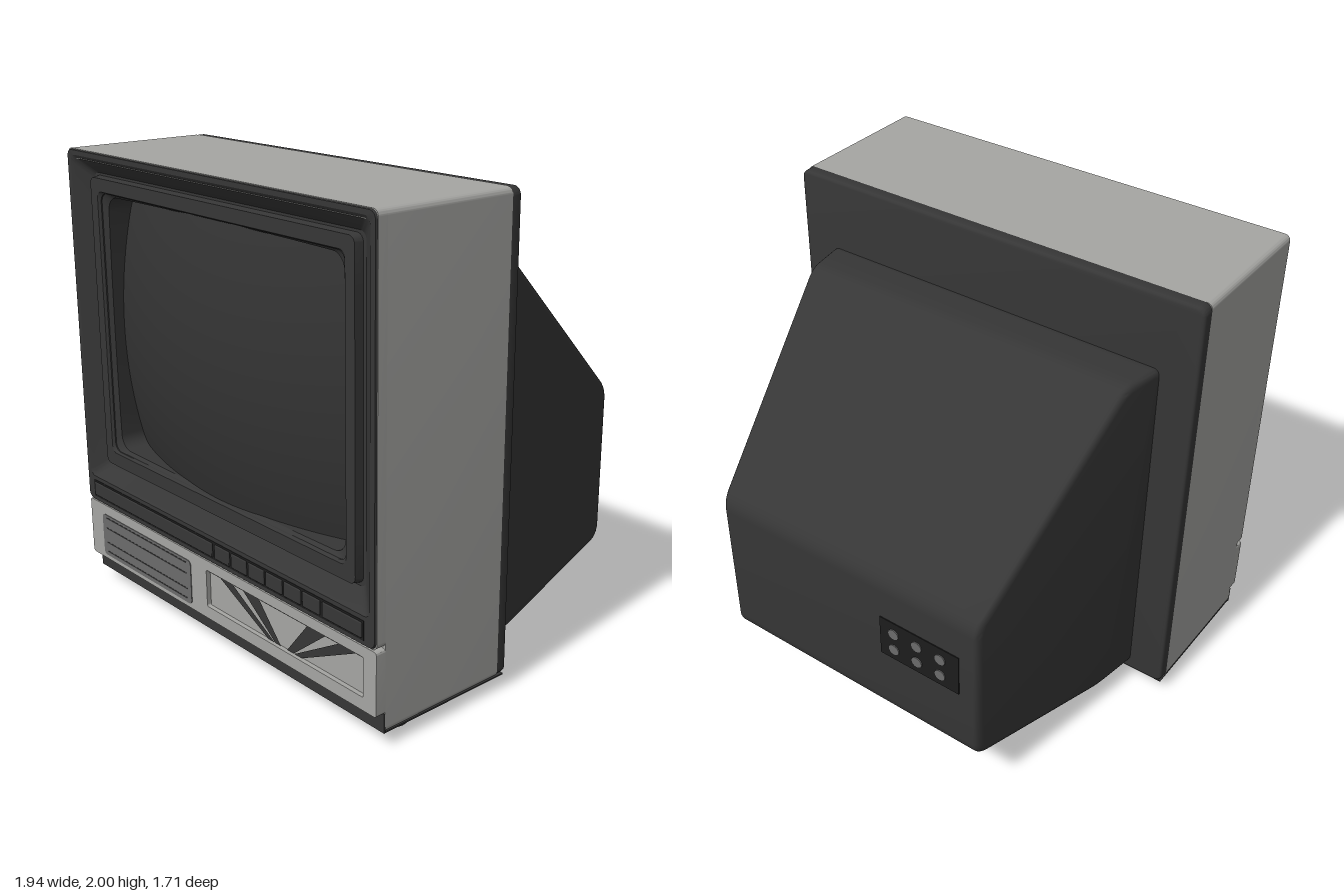
import * as THREE from 'three';
import { toCreasedNormals } from 'three/addons/utils/BufferGeometryUtils.js';
import { RoundedBoxGeometry } from 'three/addons/geometries/RoundedBoxGeometry.js';

const mat = (name, color, side = THREE.FrontSide) => {
  const m = new THREE.MeshStandardMaterial({ color, side });
  m.name = name;
  return m;
};

// Rounded rectangle path, usable as a shape or a hole
function roundRect(x0, y0, x1, y1, r, Type = THREE.Shape) {
  const s = new Type();
  s.moveTo(x0 + r, y0);
  s.lineTo(x1 - r, y0).absarc(x1 - r, y0 + r, r, -Math.PI / 2, 0, false);
  s.lineTo(x1, y1 - r).absarc(x1 - r, y1 - r, r, 0, Math.PI / 2, false);
  s.lineTo(x0 + r, y1).absarc(x0 + r, y1 - r, r, Math.PI / 2, Math.PI, false);
  s.lineTo(x0, y0 + r).absarc(x0 + r, y0 + r, r, Math.PI, Math.PI * 1.5, false);
  return s;
}

// Polygon with every corner softened by a quadratic curve
function softPolygon(points, r) {
  const s = new THREE.Shape();
  const p = points.map(([x, y]) => new THREE.Vector2(x, y));
  p.forEach((c, i) => {
    const toward = (q) => c.clone().add(q.clone().sub(c).setLength(r));
    const a = toward(p[(i + p.length - 1) % p.length]);
    const b = toward(p[(i + 1) % p.length]);
    if (i) s.lineTo(a.x, a.y); else s.moveTo(a.x, a.y);
    s.quadraticCurveTo(c.x, c.y, b.x, b.y);
  });
  s.closePath();
  return s;
}

// One bezel cross-section: rounded rectangle whose sides may bow outward
function bezelLoop([w, y0, y1, r, z, bow = 0]) {
  const cy = (y0 + y1) / 2, h = (y1 - y0) / 2, pts = [];
  const corners = [[1, -1], [1, 1], [-1, 1], [-1, -1]];
  corners.forEach(([sx, sy], k) => {
    for (let i = 0; i <= 6; i++) {
      const a = (k - 1 + i / 6) * Math.PI / 2;
      pts.push([sx * (w - r) + r * Math.cos(a), sy * (h - r) + r * Math.sin(a)]);
    }
    const [nx, ny] = corners[(k + 1) % 4];
    for (let i = 1; i < 8; i++) {
      const t = i / 8, vertical = k % 2 === 0;
      pts.push(vertical ? [sx * w, THREE.MathUtils.lerp(sy * (h - r), ny * (h - r), t)]
        : [THREE.MathUtils.lerp(sx * (w - r), nx * (w - r), t), sy * h]);
    }
  });
  return pts.map(([x, y]) => new THREE.Vector3(
    x * (1 - bow * (y / h) ** 2), cy + y * (1 - bow * (x / w) ** 2), z));
}

function loft(sections) {
  const loops = sections.map(bezelLoop), pos = [];
  for (let j = 0; j < loops.length - 1; j++) {
    const a = loops[j], b = loops[j + 1], n = a.length;
    for (let i = 0; i < n; i++) {
      const k = (i + 1) % n;
      for (const v of [a[i], a[k], b[k], a[i], b[k], b[i]]) pos.push(v.x, v.y, v.z);
    }
  }
  const g = new THREE.BufferGeometry();
  g.setAttribute('position', new THREE.Float32BufferAttribute(pos, 3));
  return toCreasedNormals(g, 0.45);
}

export function createModel() {
  const group = new THREE.Group();
  const grey = mat('light grey plastic', 0xa6a6a3);
  const dark = mat('charcoal plastic', 0x363636);
  const glass = mat('screen glass', 0x333333);
  const black = mat('black recess', 0x1c1c1c);
  const mesh = mat('grille grey', 0x6c6c6c);
  const rayDark = mat('vent ray charcoal', 0x363636, THREE.DoubleSide);

  const add = (name, geo, material, x = 0, y = 0, z = 0) => {
    const m = new THREE.Mesh(geo, material);
    m.name = name;
    m.position.set(x, y, z);
    group.add(m);
    return m;
  };
  const box = (name, x0, x1, y0, y1, z0, z1, material) =>
    add(name, new THREE.BoxGeometry(x1 - x0, y1 - y0, z1 - z0), material,
      (x0 + x1) / 2, (y0 + y1) / 2, (z0 + z1) / 2);
  const extrude = (shape, depth) => toCreasedNormals(
    new THREE.ExtrudeGeometry(shape, { depth, bevelEnabled: false, curveSegments: 8 }), 0.5);

  // Cabinet: hollow shell, its shorter front lip and the dark rear rim
  const shell = (y0, depth) => {
    const s = roundRect(-0.97, y0, 0.97, 2, 0.025);
    s.holes.push(roundRect(-0.93, 0.45, 0.93, 1.96, 0.02, THREE.Path));
    return extrude(s, depth);
  };
  add('cabinetShell', shell(0.06, 0.6), grey, 0, 0, 0.16);
  add('cabinetFrontLip', shell(0.41, 0.042), grey, 0, 0, 0.76);
  const rim = new THREE.ExtrudeGeometry(roundRect(-0.955, 0.075, 0.955, 1.985, 0.02),
    { depth: 0.035, bevelThickness: 0.015, bevelSize: 0.015, bevelSegments: 3, curveSegments: 6 });
  add('rearRim', toCreasedNormals(rim, 0.6), dark, 0, 0, 0.125);
  box('bottomPlate', -0.965, 0.965, 0.056, 0.062, 0.12, 0.76, dark);
  box('lowerFrontStrip', -0.97, 0.97, 0.06, 0.14, 0.757, 0.765, dark);

  // Stepped bezel: outer rim, sloping reveal, raised screen frame, gasket
  add('bezel', loft([
    [0.969, 0.41, 1.999, 0.03, 0.795], [0.965, 0.415, 1.995, 0.03, 0.81],
    [0.94, 0.53, 1.975, 0.03, 0.81], [0.925, 0.535, 1.96, 0.03, 0.8],
    [0.855, 0.6, 1.905, 0.03, 0.75], [0.84, 0.61, 1.895, 0.03, 0.75],
    [0.835, 0.615, 1.89, 0.03, 0.785], [0.785, 0.675, 1.835, 0.03, 0.785],
    [0.775, 0.682, 1.828, 0.04, 0.775], [0.75, 0.69, 1.815, 0.06, 0.57, -0.0],
  ]), dark);
  add('screenGasket', loft([
    [0.777, 0.68, 1.83, 0.04, 0.772], [0.757, 0.69, 1.82, 0.06, 0.755, 0.012],
    [0.755, 0.692, 1.818, 0.06, 0.57, 0.012],
  ]), dark);

  // Domed picture tube
  const tube = new THREE.PlaneGeometry(1.54, 1.15, 32, 26);
  const tp = tube.attributes.position;
  for (let i = 0; i < tp.count; i++) tp.setZ(i, -(tp.getX(i) ** 2 + tp.getY(i) ** 2) / 4);
  tube.computeVertexNormals();
  add('screen', tube, glass, 0, 1.255, 0.85);

  // Control strip with long cover, six buttons and one wide button
  box('controlGroove', -0.92, 0.91, 0.432, 0.512, 0.805, 0.8115, black);
  const key = (name, x0, x1) => add(name, new RoundedBoxGeometry(x1 - x0, 0.062, 0.02, 2, 0.004),
    dark, (x0 + x1) / 2, 0.472, 0.807);
  key('controlCover', -0.91, -0.008);
  for (let i = 0; i < 6; i++) key('button', 0.008 + i * 0.112, 0.108 + i * 0.112);
  key('wideButton', 0.682, 0.9);

  // Lower front panel with an inset vent opening
  const panel = roundRect(-0.97, 0.14, 0.97, 0.405, 0.012);
  panel.holes.push(roundRect(-0.07, 0.195, 0.9, 0.36, 0.008, THREE.Path));
  add('lowerPanel', extrude(panel, 0.045), grey, 0, 0, 0.76);
  box('ventFloor', -0.08, 0.91, 0.18, 0.37, 0.76, 0.785, grey);

  // Fan of dark rays: [top left, top right, bottom left, bottom right]
  for (const [a, b, c, d] of [[-0.01, 0.08, 0.32, 0.36], [0.15, 0.26, 0.365, 0.4],
    [0.57, 0.68, 0.44, 0.48], [0.76, 0.86, 0.485, 0.53]]) {
    const ray = new THREE.Shape([[c, 0.196], [d, 0.196], [b, 0.355], [a, 0.355]]
      .map(([x, y]) => new THREE.Vector2(x, y)));
    add('ventRay', new THREE.ShapeGeometry(ray), rayDark, 0, 0, 0.79);
  }
  box('ventTopEdge', -0.07, 0.9, 0.345, 0.36, 0.785, 0.789, mesh);

  // Speaker grille plate with slots
  add('speakerGrille', extrude(roundRect(-0.87, 0.16, -0.18, 0.36, 0.02), 0.006), mesh, 0, 0, 0.802);
  for (const y of [0.18, 0.225, 0.295, 0.345]) {
    box('grilleSlot', -0.84, -0.21, y - 0.003, y + 0.003, 0.805, 0.809, dark);
  }

  // Rear housing: side profile extruded across, narrowing toward the back
  const bevel = 0.03;
  const profile = softPolygon([[-0.13, 0.13], [0.1, 0.13], [0.82, 0.285],
    [0.82, 0.955], [0.065, 1.65], [-0.13, 1.65]], 0.04);
  const housing = new THREE.ExtrudeGeometry(profile, { depth: 2 - 2 * bevel,
    bevelThickness: bevel, bevelSize: bevel, bevelSegments: 4, curveSegments: 5 });
  housing.translate(0, 0, -1 + bevel);
  housing.rotateY(Math.PI / 2);
  const hp = housing.attributes.position;
  for (let i = 0; i < hp.count; i++) {
    hp.setX(i, hp.getX(i) * (0.81 - 0.155 * (0.11 - hp.getZ(i)) / 0.96));
  }
  add('rearHousing', toCreasedNormals(housing, 0.6), dark);

  // Rear connector panel with two rows of sockets
  box('connectorPanel', -0.57, -0.18, 0.58, 0.78, -0.854, -0.846, black);
  for (let i = 0; i < 3; i++) for (const y of [0.635, 0.72]) {
    const pin = add('socket', new THREE.CylinderGeometry(0.026, 0.026, 0.008, 16), mesh,
      -0.25 - i * 0.115, y, -0.855);
    pin.rotation.x = Math.PI / 2;
  }

  // Rounded support tongue under the housing
  const tongue = new THREE.Shape();
  tongue.moveTo(0.35, -0.13);
  tongue.quadraticCurveTo(0.2, 0.1, 0.21, 0.42);
  tongue.absarc(0, 0.42, 0.21, 0, Math.PI, false);
  tongue.quadraticCurveTo(-0.2, 0.1, -0.35, -0.13);
  const tg = extrude(tongue, 0.21);
  tg.rotateX(-Math.PI / 2);
  add('supportTongue', tg, dark, 0, 0.06, 0);

  // Three front feet and one rear foot
  for (const [x, z] of [[-0.835, 0.607], [0.02, 0.607], [0.835, 0.607], [0.02, -0.43]]) {
    add('foot', new THREE.CylinderGeometry(0.07, 0.07, 0.065, 24), dark, x, 0.0325, z);
  }
  return group;
}
